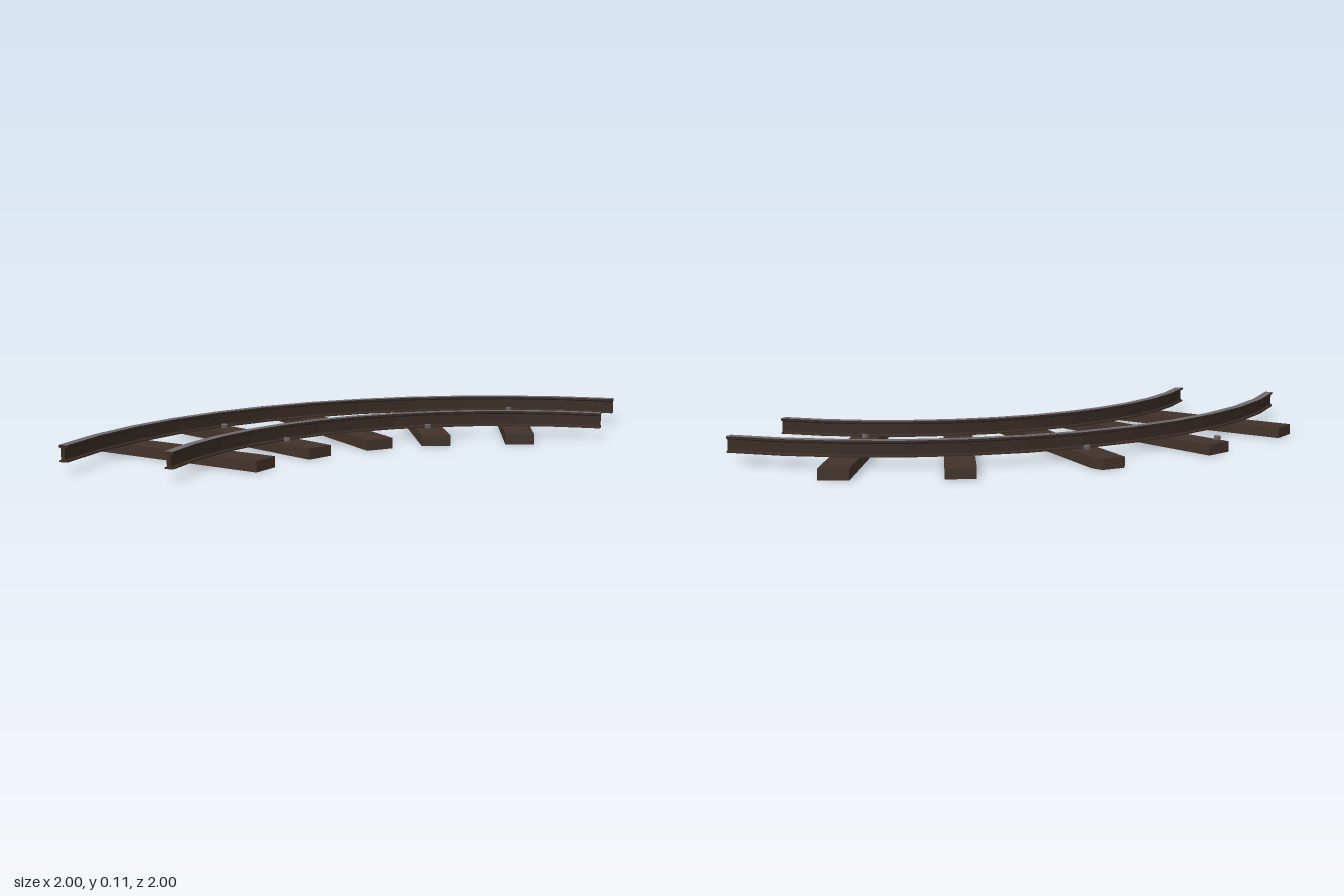
import * as THREE from 'three';

const wood = new THREE.MeshStandardMaterial({ color: 0x42332b, side: THREE.DoubleSide });
const iron = new THREE.MeshStandardMaterial({ color: 0x392b24 });
const steel = new THREE.MeshStandardMaterial({ color: 0x6d696d });
const soot = new THREE.MeshStandardMaterial({ color: 0x14100e });
wood.name = 'sleeper wood';
iron.name = 'rusty iron';
steel.name = 'worn steel';
soot.name = 'sooty black';

const SLEEPER_TOP = 0.044, RAIL_TOP = 0.11, WIDTH = 0.12;

function add(parent, name, geometry, material) {
  const mesh = new THREE.Mesh(geometry, material);
  mesh.name = name;
  parent.add(mesh);
  return mesh;
}

// Quarter-circle sweep of a profile line, with hard edges
function sweep(points) {
  const g = new THREE.LatheGeometry(points, 12, Math.PI, Math.PI / 2).toNonIndexed();
  g.computeVertexNormals();
  return g;
}

// I-beam rail curving round the corner of the track
function makeRail(radius, name) {
  const rail = new THREE.Group();
  rail.name = name;
  rail.position.set(1, 0, 1);
  const half = [
    [0.018, SLEEPER_TOP], [0.018, 0.049], [0.008, 0.054],
    [0.008, 0.096], [0.018, 0.101], [0.018, RAIL_TOP],
  ];
  const outer = half.map(([x, y]) => new THREE.Vector2(radius + x, y));
  const inner = half.map(([x, y]) => new THREE.Vector2(radius - x, y)).reverse();
  add(rail, 'railOuterSide', sweep(outer), iron);
  add(rail, 'railInnerSide', sweep(inner), iron);
  add(rail, 'railTop', sweep([outer[5], inner[0]]), steel);
  add(rail, 'railUnderside', sweep([inner[5], outer[0]]), soot);
  // End faces
  const profile = [...outer, ...inner];
  add(rail, 'railEndRight', new THREE.ShapeGeometry(new THREE.Shape(profile)), iron).rotation.y = Math.PI / 2;
  const mirrored = profile.map((p) => new THREE.Vector2(-p.x, p.y));
  add(rail, 'railEndFront', new THREE.ShapeGeometry(new THREE.Shape(mirrored)), iron);
  return rail;
}

// Sleeper: a top and side walls, open underneath, optionally with a chipped corner
function makeSleeper([x, z, degrees, length, chipped]) {
  const l = length / 2, w = WIDTH / 2;
  const outline = [[-l, w], [l, w], [l, -w]];
  if (chipped) outline.push([-l + 0.05, -w], [-l, -w + 0.02]);
  else outline.push([-l, -w]);
  const pos = [];
  outline.forEach(([ax, az], i) => {
    const [bx, bz] = outline[(i + 1) % outline.length];
    pos.push(ax, 0, az, bx, 0, bz, bx, SLEEPER_TOP, bz);
    pos.push(ax, 0, az, bx, SLEEPER_TOP, bz, ax, SLEEPER_TOP, az);
    pos.push(0, SLEEPER_TOP, 0, ax, SLEEPER_TOP, az, bx, SLEEPER_TOP, bz);
  });
  const g = new THREE.BufferGeometry();
  g.setAttribute('position', new THREE.Float32BufferAttribute(pos, 3));
  g.computeVertexNormals();
  const mesh = new THREE.Mesh(g, wood);
  mesh.name = 'sleeper';
  mesh.position.set(x, 0, z);
  mesh.rotation.y = -THREE.MathUtils.degToRad(degrees);
  return mesh;
}

export function createModel() {
  const track = new THREE.Group();
  track.name = 'curvedTrack';

  track.add(makeRail(1.825, 'outerRail'), makeRail(1.39, 'innerRail'));

  // x, z, heading in degrees, length, chipped corner
  const sleepers = [
    [-0.555, 0.583, 15.3, 0.89, false],
    [-0.4, 0.195, 28.2, 0.89, false],
    [-0.145, -0.145, 44.3, 0.88, true],
    [0.197, -0.398, 67, 0.894, false],
    [0.58, -0.555, 74.6, 0.89, false],
  ].map(makeSleeper);
  track.add(...sleepers);

  // Blackened patch on the side of the last sleeper
  const patch = add(sleepers[4], 'blackenedPatch', new THREE.BoxGeometry(0.16, 0.036, 0.003), soot);
  patch.position.set(-0.3, 0.019, -WIDTH / 2);

  // Spikes beside the rails and one loose in a sleeper
  const spikes = [
    [0.53, -0.735], [0.625, -0.375], [0.29, -0.16], [-0.32, -0.315],
    [-0.55, 0.1], [-0.18, 0.32], [-0.77, 0.053],
  ];
  const spikeShape = new THREE.CylinderGeometry(0.015, 0.012, 0.02, 6);
  spikes.forEach(([x, z], i) => {
    const spike = add(track, 'spike', spikeShape, steel);
    spike.position.set(x, SLEEPER_TOP + 0.006, z);
    spike.rotation.set(0.15 * Math.sin(i * 2), i, 0.12);
  });

  return track;
}
